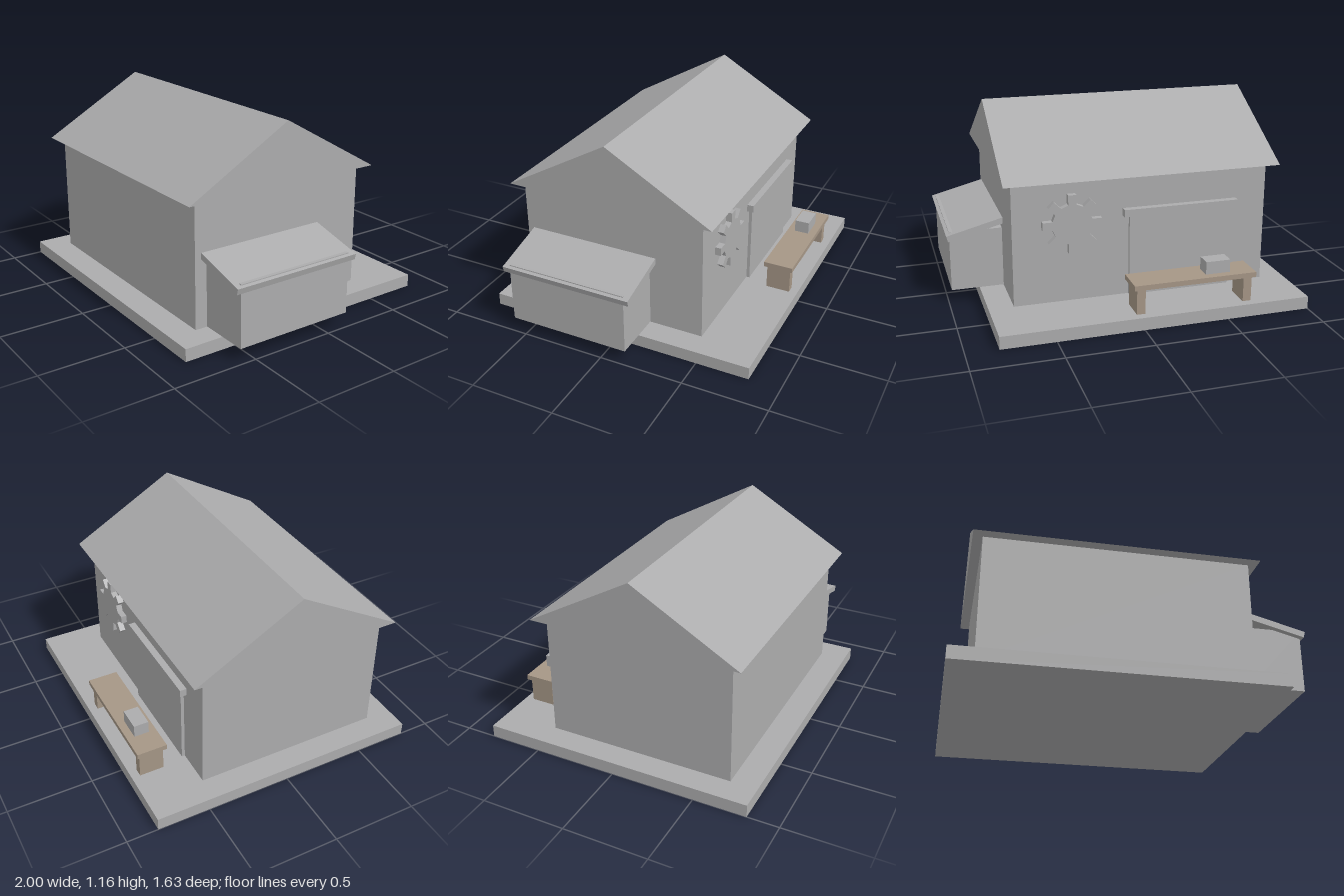
import * as THREE from 'three';

const grey = new THREE.MeshStandardMaterial({ name: 'grey', color: 0xacacad });
const brown = new THREE.MeshStandardMaterial({ name: 'brown', color: 0xa59686 });

// Box given by its extents on each axis
function box(name, [x0, x1], [y0, y1], [z0, z1], material = grey) {
  const mesh = new THREE.Mesh(new THREE.BoxGeometry(x1 - x0, y1 - y0, z1 - z0), material);
  mesh.position.set((x0 + x1) / 2, (y0 + y1) / 2, (z0 + z1) / 2);
  mesh.name = name;
  return mesh;
}

// Gable roof: triangular section extruded along x
function makeRoof() {
  const section = new THREE.Shape([
    new THREE.Vector2(-0.722, 0.805),
    new THREE.Vector2(0.543, 0.805),
    new THREE.Vector2(-0.09, 1.165),
  ]);
  const geometry = new THREE.ExtrudeGeometry(section, { depth: 1.632, bevelEnabled: false });
  geometry.rotateY(Math.PI / 2);
  const roof = new THREE.Mesh(geometry, grey);
  roof.position.x = -0.91;
  roof.name = 'roof';
  return roof;
}

// Eight-toothed gear wheel with square teeth
function makeGear() {
  const teeth = 8, half = 0.024, root = 0.115, tip = 0.172;
  const points = [];
  for (let i = 0; i < teeth; i++) {
    const angle = (i / teeth) * Math.PI * 2;
    for (const [r, s] of [[root, -half], [tip, -half], [tip, half], [root, half]]) {
      points.push(new THREE.Vector2(r, s).rotateAround(new THREE.Vector2(), angle));
    }
  }
  const geometry = new THREE.ExtrudeGeometry(new THREE.Shape(points), { depth: 0.036, bevelEnabled: false });
  const gear = new THREE.Mesh(geometry, grey);
  gear.position.set(0.33, 0.548, -0.505);
  gear.name = 'gearSign';
  return gear;
}

// Bench with two slab legs and a small block on top
function makeBench() {
  const bench = new THREE.Group();
  bench.name = 'bench';
  const centre = -0.312;
  bench.add(box('benchTop', [-0.676, 0.052], [0.225, 0.255], [-0.782, -0.602], brown));
  for (const side of [-1, 1]) {
    const x = centre + side * 0.32;
    bench.add(box('benchLeg', [x - 0.025, x + 0.025], [0.075, 0.225], [-0.765, -0.619], brown));
  }
  bench.add(box('benchBlock', [-0.532, -0.386], [0.255, 0.33], [-0.736, -0.647]));
  return bench;
}

// Side shed with a sloping lid
function makeShed() {
  const shed = new THREE.Group();
  shed.name = 'sideShed';
  shed.add(box('shedBody', [0.66, 0.98], [0.077, 0.44], [-0.145, 0.584]));
  const lid = new THREE.Mesh(new THREE.BoxGeometry(0.36, 0.036, 0.8), grey);
  lid.position.set(0.821, 0.457, 0.218);
  lid.rotation.z = -0.253;
  lid.name = 'shedRoof';
  shed.add(lid);
  return shed;
}

export function createModel() {
  const model = new THREE.Group();
  model.name = 'workshop';
  model.add(
    box('base', [-1, 0.815], [0, 0.075], [-0.815, 0.815]),
    box('walls', [-0.855, 0.67], [0.075, 0.805], [-0.47, 0.657]),
    box('backDoor', [-0.63, -0.01], [0.075, 0.565], [-0.489, -0.465]),
    box('doorLintel', [-0.668, 0.027], [0.562, 0.605], [-0.51, -0.465]),
    makeRoof(),
    makeGear(),
    makeBench(),
    makeShed(),
  );
  return model;
}
